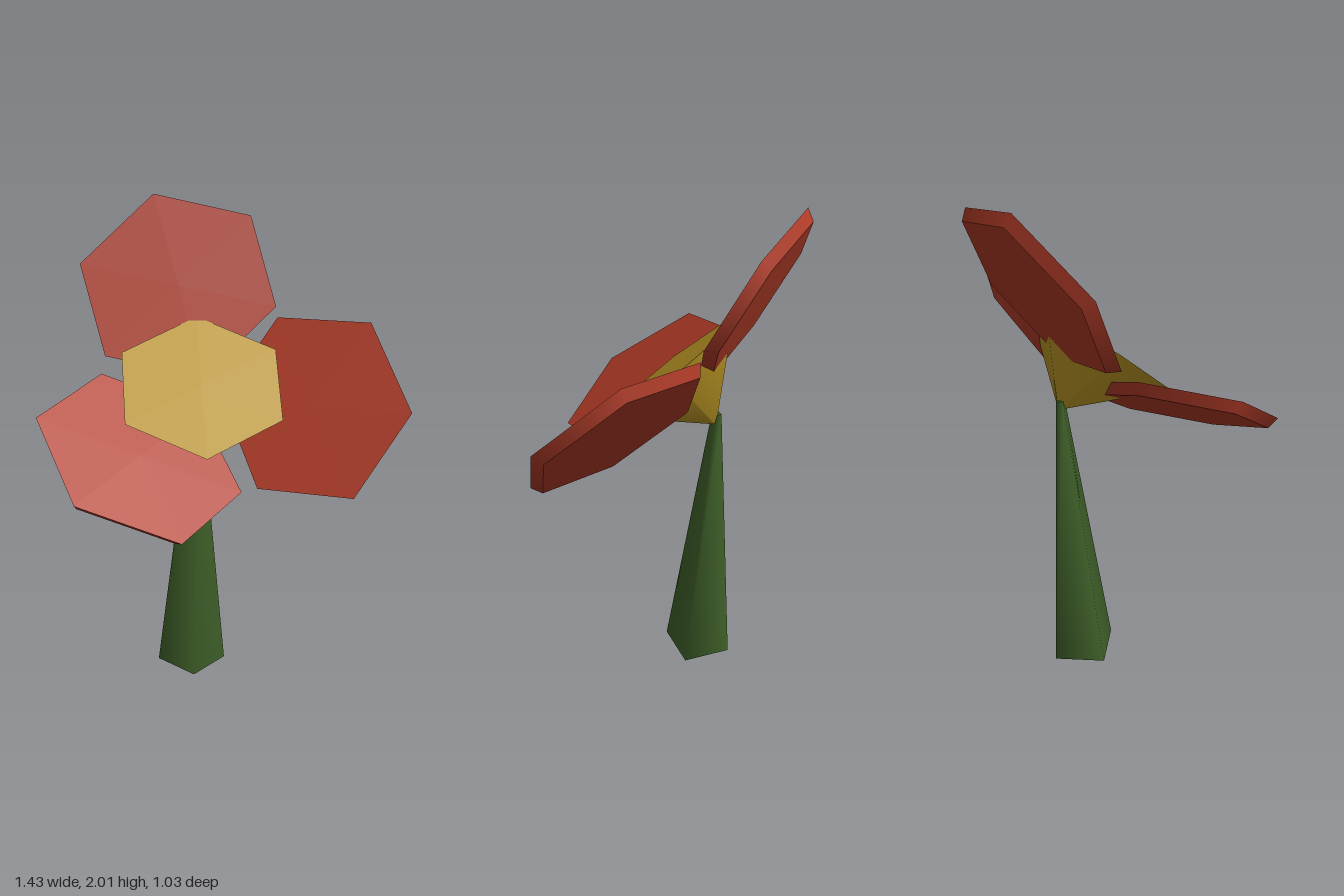
import * as THREE from 'three';

const V = (p) => new THREE.Vector3(...p);

const red = new THREE.MeshStandardMaterial({ color: 0xb23c28 });
red.name = 'petalRed';
const yellow = new THREE.MeshStandardMaterial({ color: 0xc09a26 });
yellow.name = 'centreYellow';
const green = new THREE.MeshStandardMaterial({ color: 0x3f6029 });
green.name = 'stemGreen';

// Six-sided plate: centre, two neighbouring corners (as offsets, counterclockwise
// from the face), depth, back-side scale and how far the face sits above the centre
function hexPlate(name, material, centre, a, b, depth, backScale, lift) {
  const z = V(a);
  const x = V(b).addScaledVector(z, -0.5).divideScalar(Math.sqrt(3) / 2);
  const n = new THREE.Vector3().crossVectors(z, x).normalize();
  const geometry = new THREE.CylinderGeometry(1, backScale, depth, 6);
  geometry.translate(0, lift - depth / 2, 0);
  geometry.applyMatrix4(new THREE.Matrix4().makeBasis(x, n, z).setPosition(V(centre)));
  const mesh = new THREE.Mesh(geometry, material);
  mesh.name = name;
  return mesh;
}

export function createModel() {
  const flower = new THREE.Group();
  flower.name = 'flower';

  // Stem: leaning four-sided taper
  const bottom = V([-0.14, 0.01, -0.125]);
  const top = V([-0.102, 1.18, -0.205]);
  const axis = top.clone().sub(bottom);
  const stem = new THREE.Mesh(new THREE.CylinderGeometry(0.02, 0.146, axis.length(), 4), green);
  stem.name = 'stem';
  stem.position.copy(bottom).add(top).multiplyScalar(0.5);
  stem.quaternion.setFromUnitVectors(new THREE.Vector3(0, 1, 0), axis.normalize());
  flower.add(stem);

  // Centre: hexagonal face narrowing to a point at the stem
  flower.add(hexPlate('centre', yellow, [-0.093, 1.355, -0.02],
    [0, -0.205, 0.24], [0.306, -0.105, 0.125], 0.28, 0.03, 0));

  // Petals: three thin hexagonal plates cupped around the centre
  const petals = [
    ['backPetal', [-0.16, 1.67, -0.325], [-0.085, 0.33, -0.175], [-0.39, 0.085, -0.05]],
    ['leftPetal', [0.35, 1.275, 0.035], [0.35, 0.02, 0.16], [0.24, 0.285, -0.14]],
    ['rightPetal', [-0.35, 1.155, 0.187], [-0.25, -0.06, 0.28], [0.135, -0.215, 0.32]],
  ];
  for (const [name, centre, a, b] of petals) {
    flower.add(hexPlate(name, red, centre, a, b, 0.045, 0.92, 0.012));
  }

  return flower;
}
